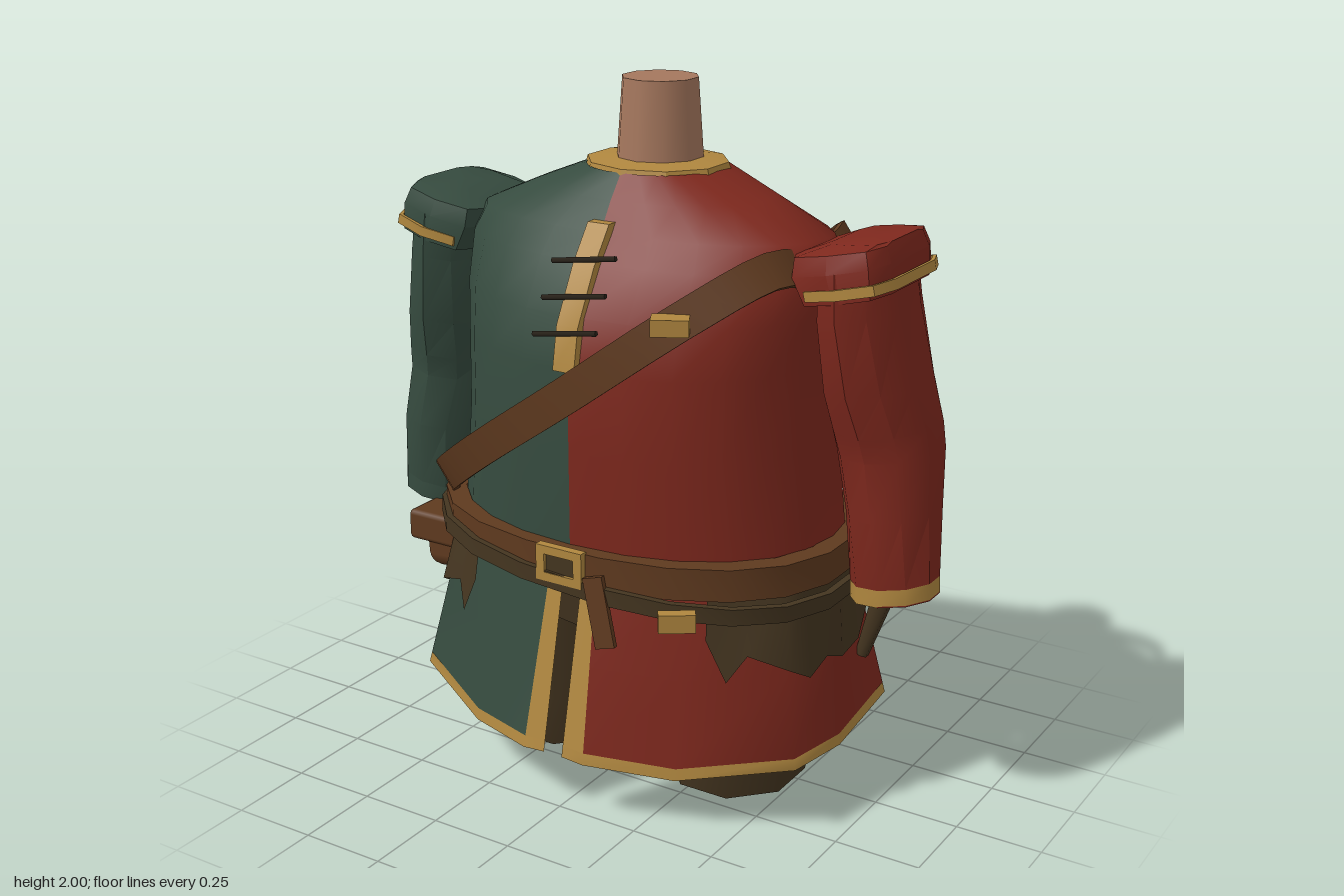
import * as THREE from 'three';
import { toCreasedNormals } from 'three/addons/utils/BufferGeometryUtils.js';
import { RoundedBoxGeometry } from 'three/addons/geometries/RoundedBoxGeometry.js';

const mat = (name, color) => new THREE.MeshStandardMaterial({ name, color, side: THREE.DoubleSide });
const V = (x, y, z) => new THREE.Vector3(x, y, z);
const bend = (v, pow) => Math.sign(v) * Math.abs(v) ** pow;

// Skin over a list of rings (bottom to top, points running x -> z)
function loft(rings, { closed = true, bottom = false, top = false, crease = 0.7 } = {}) {
  const n = rings[0].length, pos = [], idx = [];
  rings.forEach(r => r.forEach(p => pos.push(p.x, p.y, p.z)));
  for (let i = 0; i < rings.length - 1; i++)
    for (let j = 0; j < (closed ? n : n - 1); j++) {
      const a = i * n + j, b = i * n + (j + 1) % n;
      idx.push(a, a + n, b, b, a + n, b + n);
    }
  const cap = (k, up) => {
    const c = rings[k].reduce((s, p) => s.add(p), V(0, 0, 0)).divideScalar(n), m = pos.length / 3;
    pos.push(c.x, c.y, c.z);
    for (let j = 0; j < n; j++) {
      const a = k * n + j, b = k * n + (j + 1) % n;
      idx.push(m, up ? b : a, up ? a : b);
    }
  };
  if (bottom) cap(0, false);
  if (top) cap(rings.length - 1, true);
  const g = new THREE.BufferGeometry();
  g.setAttribute('position', new THREE.Float32BufferAttribute(pos, 3));
  g.setIndex(idx);
  return toCreasedNormals(g, crease);
}

// Elliptic ring; side -1 mirrors it, pow below 1 makes it boxier
function ring(cx, cy, cz, rx, rz, { tilt = 0, n = 10, side = 1, pow = 1 } = {}) {
  const pts = [];
  for (let i = 0; i < n; i++) {
    const a = (i + 0.5) / n * Math.PI * 2, c = rx * bend(Math.cos(a), pow);
    pts.push(V(side * (cx + c * Math.cos(tilt)), cy + c * Math.sin(tilt), cz + rz * bend(Math.sin(a), pow)));
  }
  return side < 0 ? pts.reverse() : pts;
}

// Flat strap with thickness running round a closed loop of points
function band(pts, center, halfWidth, halfThick) {
  const n = pts.length;
  const rings = pts.map((p, i) => {
    const T = pts[(i + 1) % n].clone().sub(pts[(i + n - 1) % n]).normalize();
    const N = p.clone().sub(center);
    N.addScaledVector(T, -N.dot(T)).normalize();
    const W = T.clone().cross(N);
    return [[1, 1], [1, -1], [-1, -1], [-1, 1]].map(([a, b]) =>
      p.clone().addScaledVector(N, a * halfThick).addScaledVector(W, b * halfWidth));
  });
  return loft([...rings, rings[0]]);
}

// Skirt surface: u runs 0..8 from front slit round the side to back slit, t from waist to hem
const waist = [[.03, .41], [.075, .41], [.33, .35], [.53, .2], [.59, 0]];
const hem = [[.03, .53, .18], [.1, .53, .175], [.34, .43, .15], [.635, .28, .2], [.63, 0, .15]];
function skirtPoint(u, t, side, grow = 1) {
  const at = k => {
    const m = k > 4 ? 8 - k : k, s = k > 4 ? -1 : 1, [a, b] = [waist[m], hem[m]];
    return V(a[0] + (b[0] - a[0]) * t, .72 + (b[2] - .72) * t, s * (a[1] + (b[1] - a[1]) * t));
  };
  const k = Math.min(7, Math.floor(u)), p = at(k).lerp(at(k + 1), u - k);
  return V(p.x * side * grow, p.y, p.z * grow);
}

export function createModel() {
  const root = new THREE.Group();
  root.name = 'tunicBody';
  const red = mat('red cloth', 0x7e281d), green = mat('green cloth', 0x364b3f), gold = mat('gold trim', 0xb0873f);
  const skin = mat('skin', 0xa5775d), leather = mat('brown leather', 0x5f3a1f);
  const dark = mat('dark leather', 0x443520), black = mat('lace', 0x2a231a);
  const add = (name, geo, m, x = 0, y = 0, z = 0, rx = 0, ry = 0, rz = 0, parent = root) => {
    const o = new THREE.Mesh(geo, m);
    o.name = name;
    o.position.set(x, y, z);
    o.rotation.set(rx, ry, rz);
    parent.add(o);
  };
  const box = (w, h, d) => new THREE.BoxGeometry(w, h, d);

  // Torso sections: height, half width, front z, back z
  const torso = [[.7, .59, .425, -.39], [.8, .58, .43, -.385], [1.05, .555, .43, -.37],
    [1.28, .55, .43, -.38], [1.42, .56, .4, -.38], [1.55, .57, .32, -.3], [1.62, .54, .265, -.25],
    [1.7, .355, .215, -.225], [1.765, .19, .165, -.205]];

  for (const s of [1, -1]) {
    const cloth = s > 0 ? red : green, word = s > 0 ? 'left' : 'right';

    add(word + 'Torso', loft(torso.map(([y, w, f, b]) => Array.from({ length: 13 }, (_, i) => {
      const a = -Math.PI / 2 + i / 12 * Math.PI + (s < 0 ? Math.PI : 0), z = bend(Math.sin(a), .92);
      return V(i % 12 ? w * bend(Math.cos(a), .92) : 0, y, -.01 + z * (z > 0 ? f + .01 : -.01 - b));
    })), { closed: false, crease: 1 }), cloth);

    // Skirt panel and its gold borders
    const patch = (us, ts) => loft(ts.map(t => {
      const r = us.map(u => skirtPoint(u, t, s));
      return s > 0 ? r.reverse() : r;
    }), { closed: false, crease: 1.2 });
    add(word + 'Skirt', patch([1, 2, 3, 4, 5, 6, 7], [.94, .5, 0]), cloth);
    add(word + 'HemTrim', patch([0, 1, 2, 3, 4, 5, 6, 7, 8], [1, .94]), gold);
    add(word + 'FrontSlitTrim', patch([0, 1], [.94, 0]), gold);
    add(word + 'BackSlitTrim', patch([7, 8], [.94, 0]), gold);

    // Ragged leather flap over the hip
    const rag = [[2.2, .56], [2.4, .44], [2.6, .51], [3, .46], [3.35, .42], [3.7, .46], [4, .44],
      [4.5, .43], [5, .5], [5.3, .45], [5.5, .55], [5.85, .54]];
    const rows = [1, 0].map(k => {
      const r = rag.map(([u, y]) => skirtPoint(u, k * (.72 - y) / .55, s, 1.03));
      return s > 0 ? r.reverse() : r;
    });
    add(word + 'HipFlap', loft(rows, { closed: false, crease: 1.2 }), dark);

    // Sleeve with a crease at the elbow
    const R = (x, y, z, rx, rz, tilt, pow = 1) => ring(x, y, z, rx, rz, { tilt, side: s, pow });
    const cuffTop = R(.778, .705, 0, .126, .108, .17), cuffEnd = R(.78, .655, 0, .126, .108, .17);
    add(word + 'Sleeve', loft([cuffTop, R(.76, .9, -.015, .13, .143, .12), R(.73, 1.06, -.045, .145, .163, .1),
      R(.718, 1.13, -.04, .148, .175, .1), R(.695, 1.25, -.027, .14, .2, .1),
      R(.668, 1.45, -.012, .122, .208, .15), R(.66, 1.58, -.01, .11, .2, .2)]), cloth);
    add(word + 'Cuff', loft([cuffEnd, cuffTop]), s > 0 ? gold : green);
    add(word + 'SleeveEnd', loft([cuffEnd, cuffEnd.map(p => p.clone().setY(p.y + .004))], { bottom: true }), cloth);

    // Boxy shoulder cap sloping in to the torso, with a gold rim
    add(word + 'ShoulderCap', loft([R(.66, 1.5, -.015, .125, .206, .22, .5), R(.638, 1.575, -.015, .145, .208, .22, .5),
      R(.63, 1.622, -.015, .135, .193, .2, .5), R(.675, 1.645, -.015, .085, .14, .12, .5)], { top: true, crease: .5 }), cloth);
    add(word + 'ShoulderRim', band(R(.668, 1.528, -.015, .128, .209, .22, .5), V(s * .668, 1.528, -.015), .014, .006), gold);

    // Leg
    const L = (x, y, rx, rz) => ring(x, y, .015, rx, rz, { n: 8, side: s });
    add(word + 'Leg', loft([L(.302, 0, .2, .212), L(.298, .17, .236, .235), L(.295, .47, .276, .29), L(.29, .7, .27, .31)],
      { bottom: true, crease: .9 }), dark);
  }

  add('hips', loft([ring(0, .46, 0, .48, .3), ring(0, .72, 0, .53, .35)], { bottom: true }), dark);

  // Neck and collar
  add('neck', new THREE.CylinderGeometry(.108, .128, .28, 10), skin, 0, 1.86, -.035);
  add('collar', loft([ring(0, 1.75, -.022, .212, .194), ring(0, 1.775, -.022, .204, .187),
    ring(0, 1.783, -.033, .12, .12)], { crease: .5 }), gold);

  // Waist belt, tilted hip belt and shoulder strap
  const belt = ring(0, .735, .012, .607, .43, { n: 20, pow: .88 });
  add('waistBelt', band(belt, V(0, .735, .012), .046, .03), leather);
  const hip = ring(0, .685, .005, .635, .475, { n: 20, pow: .85 });
  hip.forEach(p => { p.y -= p.x * .07; });
  add('hipBelt', band(hip, V(0, .685, .005), .024, .01), dark);
  const path = [[.49, 1.57, .215], [.34, 1.465, .37], [0, 1.21, .465], [-.3, 1.0, .435], [-.54, .83, .28], [-.625, .77, .02],
    [-.54, .83, -.26], [-.3, 1.0, -.39], [0, 1.21, -.425], [.28, 1.42, -.4], [.49, 1.57, -.24], [.52, 1.54, -.01]];
  const strap = new THREE.CatmullRomCurve3(path.map(p => V(...p)), true).getPoints(44).slice(0, -1);
  add('shoulderStrap', band(strap, V(-.05, 1.2, 0), .05, .01), leather);

  // Buckles and hanging belt end
  add('strapBuckle', box(.1, .045, .065), gold, .315, 1.45, .42, 0, .5, 0);
  add('hipBuckle', box(.1, .052, .035), gold, .375, .66, .48, 0, .6, 0);
  const rect = (w, h) => [[-w, -h], [w, -h], [w, h], [-w, h]].map(p => new THREE.Vector2(...p));
  const frame = new THREE.Shape(rect(.075, .052));
  frame.holes.push(new THREE.Path(rect(.048, .027).reverse()));
  add('beltBuckle', new THREE.ExtrudeGeometry(frame, { depth: .025, bevelEnabled: false }), gold, 0, .735, .462);
  add('buckleBack', box(.11, .07, .01), dark, 0, .735, .472);
  add('beltEnd', box(.058, .2, .018), leather, .133, .63, .485, -.1, .15, .25);

  // Chest placket and lacing
  const strip = [[1.28, .43], [1.4, .408], [1.55, .328], [1.65, .255]].map(([y, z]) =>
    [V(.034, y, z - .02), V(.034, y, z + .02), V(-.034, y, z + .02), V(-.034, y, z - .02)]);
  add('placket', loft(strip, { bottom: true, top: true }), gold);
  [[1.385, .44], [1.475, .395], [1.565, .345]].forEach(([y, z]) =>
    add('lace', new THREE.CylinderGeometry(.008, .008, .205, 5), black, 0, y, z, 0, 0, Math.PI / 2 + .15));

  // Belt pouch on the right hip
  add('pouchBody', new RoundedBoxGeometry(.165, .15, .14, 2, .045), leather, -.618, .558, .14, 0, 0, .08);
  add('pouchFlap', new RoundedBoxGeometry(.2, .095, .15, 1, .015), leather, -.65, .607, .14);

  // Sheathed dagger on the left hip
  const dagger = new THREE.Group();
  dagger.name = 'dagger';
  dagger.position.set(.66, .53, -.17);
  dagger.rotation.z = -.3;
  root.add(dagger);
  add('sheath', new THREE.CylinderGeometry(.038, .02, .29, 6), dark, 0, -.03, 0, 0, 0, 0, dagger);
  add('guard', box(.07, .022, .07), leather, 0, .125, 0, 0, 0, 0, dagger);
  add('grip', new THREE.CylinderGeometry(.022, .018, .08, 6), leather, 0, .17, 0, 0, 0, 0, dagger);
  return root;
}
